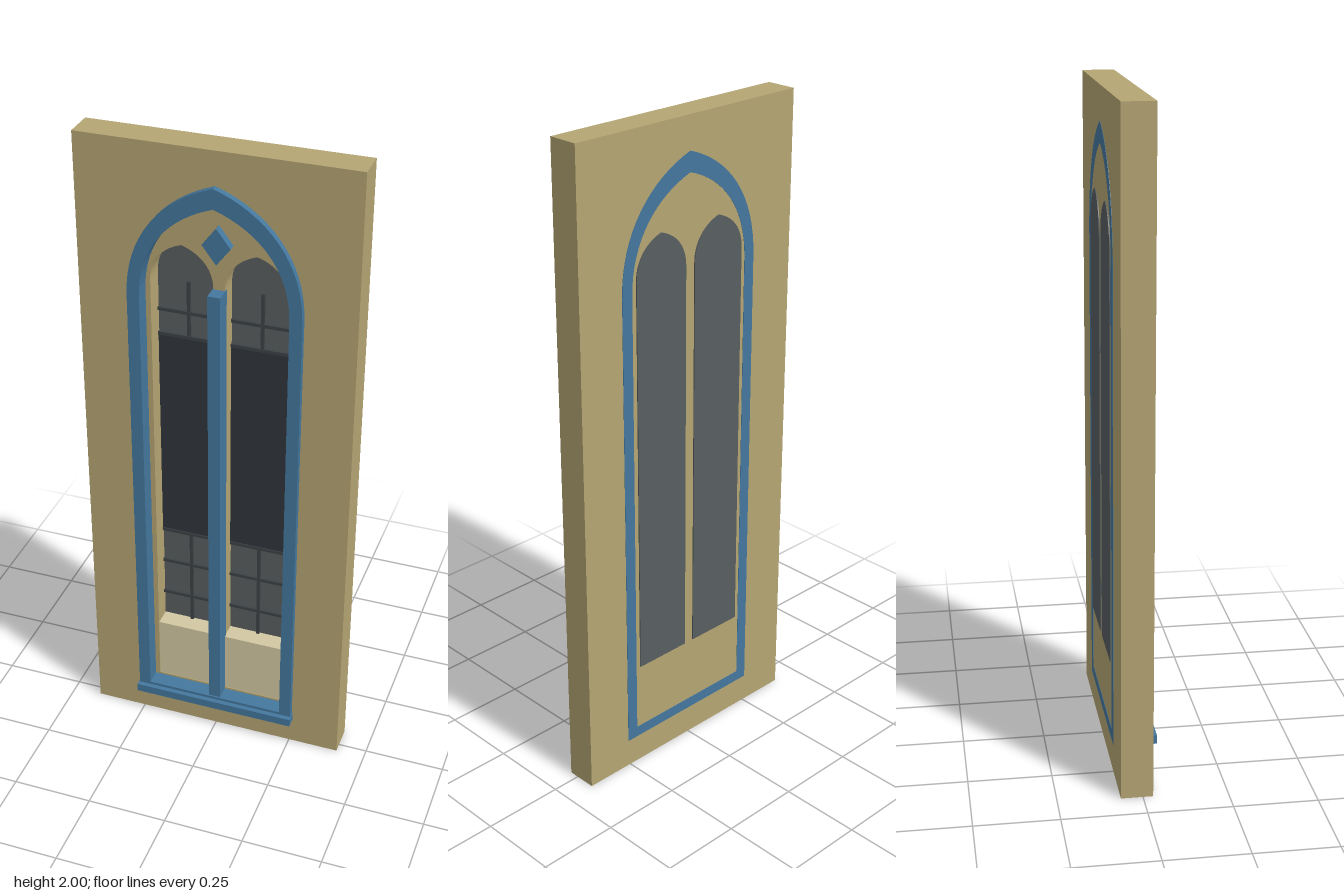
import * as THREE from 'three';

const mat = (name, color) => {
  const m = new THREE.MeshStandardMaterial({ color });
  m.name = name;
  return m;
};

// Outline of a pointed arch: straight jambs, curved sides, apex on the centre line
function trace(path, cx, hw, bottom, spring, apex) {
  const rise = apex - spring;
  path.moveTo(cx - hw, bottom);
  path.lineTo(cx + hw, bottom);
  path.lineTo(cx + hw, spring);
  path.bezierCurveTo(cx + hw, spring + rise * 0.52, cx + hw * 0.58, spring + rise * 0.86, cx, apex);
  path.bezierCurveTo(cx - hw * 0.58, spring + rise * 0.86, cx - hw, spring + rise * 0.52, cx - hw, spring);
  path.closePath();
  return path;
}
const archShape = (...a) => trace(new THREE.Shape(), ...a);
const archHole = (...a) => trace(new THREE.Path(), ...a);

function extrude(shape, z0, z1) {
  const g = new THREE.ExtrudeGeometry(shape, { depth: z1 - z0, bevelEnabled: false, curveSegments: 16 });
  return g.translate(0, 0, z0);
}

function box(x0, x1, y0, y1, z0, z1) {
  const g = new THREE.BoxGeometry(x1 - x0, y1 - y0, z1 - z0);
  return g.translate((x0 + x1) / 2, (y0 + y1) / 2, (z0 + z1) / 2);
}

export function createModel() {
  const stone = mat('sandstone', 0xb5a573);
  const cream = mat('cream stone', 0xd2c8a2);
  const blue = mat('blue paint', 0x44779e);
  const glass = mat('grey glass', 0x585e60);
  const dark = mat('dark glass', 0x30363c);
  const lead = mat('lead', 0x3d4245);

  const model = new THREE.Group();
  const add = (name, geometry, material) => {
    const mesh = new THREE.Mesh(geometry, material);
    mesh.name = name;
    model.add(mesh);
  };

  const outer = [0, 0.257, 0.09, 1.54, 1.9];
  const inner = [0, 0.22, 0.124, 1.54, 1.84];
  const cx = 0.111, hw = 0.094;

  // Wall slab with the window opening
  const wall = new THREE.Shape([[-0.41, 0], [0.41, 0], [0.41, 2], [-0.41, 2]].map(p => new THREE.Vector2(...p)));
  wall.holes.push(archHole(...outer));
  add('wall', extrude(wall, -0.065, 0.03), stone);

  // Painted arch frame running through the wall
  const frame = archShape(...outer);
  frame.holes.push(archHole(...inner));
  add('archFrame', extrude(frame, -0.066, 0.05), blue);

  // Recessed tracery panel with two lancet openings
  const tracery = archShape(...inner);
  for (const s of [-1, 1]) tracery.holes.push(archHole(s * cx, hw, 0.13, 1.575, 1.695));
  add('traceryPanel', extrude(tracery, -0.065, 0), stone);

  // Sill, mullion and diamond ornament
  add('sill', box(-0.26, 0.26, 0.088, 0.115, 0.03, 0.065), blue);
  add('mullion', box(-0.019, 0.019, 0.12, 1.575, -0.01, 0.045), blue);
  const diamond = new THREE.Shape([[0, 1.663], [0.042, 1.718], [0, 1.773], [-0.042, 1.718]].map(p => new THREE.Vector2(...p)));
  add('diamond', extrude(diamond, -0.005, 0.025), blue);

  // Contents of each lancet
  for (const s of [-1, 1]) {
    const side = s > 0 ? 'left' : 'right';
    const c = s * cx, x0 = c - hw, x1 = c + hw;

    add(side + 'ApronBlock', box(x0, x1, 0.13, 0.338, -0.06, -0.003), cream);
    add(side + 'ApronBack', box(x0, x1, 0.13, 0.338, -0.065, -0.06), stone);
    add(side + 'Pane', extrude(archShape(c, hw, 0.338, 1.575, 1.695), -0.068, -0.06), glass);
    add(side + 'DarkPane', box(x0, x1, 0.675, 1.375, -0.06, -0.054), dark);

    // Lead bars
    for (const y of [0.43, 0.555, 0.675, 1.375, 1.455])
      add(side + 'CrossBar', box(x0, x1, y - 0.005, y + 0.005, -0.06, -0.051), lead);
    for (const [y0, y1] of [[0.338, 0.675], [1.375, 1.555]])
      add(side + 'UprightBar', box(c - 0.005, c + 0.005, y0, y1, -0.06, -0.052), lead);
  }
  return model;
}
